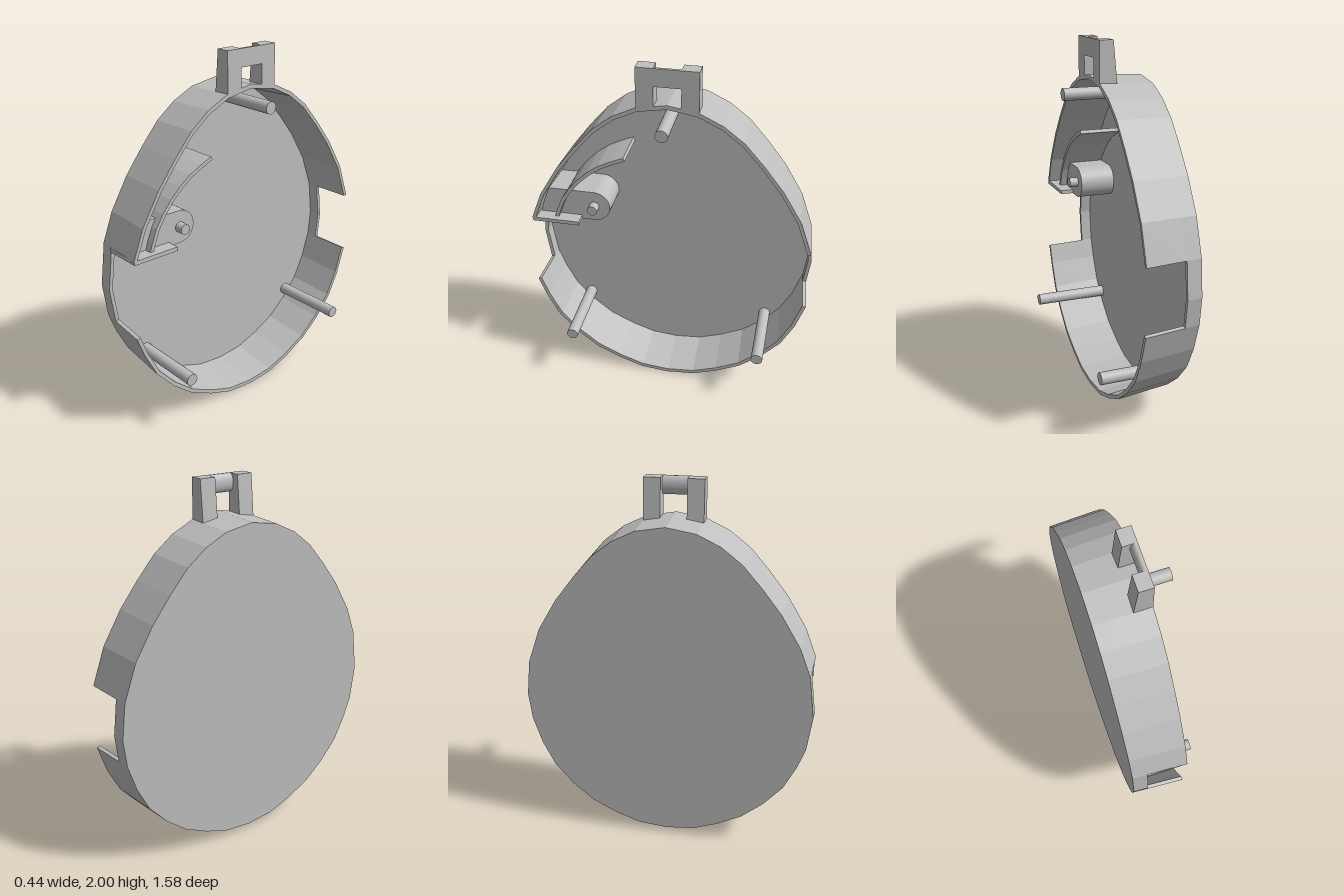
import * as THREE from 'three';

const FLOOR = -0.22, LEDGE = -0.14, RIM = 0.075;

export function createModel() {
  const model = new THREE.Group();
  model.name = 'eggCaseHalf';
  const grey = new THREE.MeshStandardMaterial({ color: 0xbfbfbf });
  grey.name = 'grey plastic';

  const add = (name, geometry) => {
    const mesh = new THREE.Mesh(geometry, grey);
    mesh.name = name;
    model.add(mesh);
    return mesh;
  };

  // Outline points are [u, y], with u = -z, counterclockwise seen from +x
  const lower = [[0.16, 0.02], [0.30, 0.07], [0.44, 0.14], [0.56, 0.24], [0.665, 0.36], [0.735, 0.5]];
  const upper = [[0.71, 1.21], [0.605, 1.385], [0.5, 1.52], [0.395, 1.64], [0.285, 1.725], [0.16, 1.785]];
  const mirror = (pts) => pts.map(([u, y]) => [-u, y]).reverse();
  const topArc = [[0.781, 1.01], ...upper, [0, 1.812], ...mirror(upper), [-0.772, 1.05]];
  const bottomArc = [[-0.777, 0.615], ...mirror(lower), [0, 0.005], ...lower, [0.785, 0.655]];
  const outline = [...bottomArc, [0.803, 0.81], ...topArc, [-0.803, 0.81]];

  // The wall flares slightly towards the open rim
  const flare = ([u, y], x) => {
    const k = 1 - 0.023 * (RIM - x) / (RIM - FLOOR);
    return [u * k, 1.3 + (y - 1.3) * k];
  };
  const inset = ([u, y]) => [u * 0.975, 0.9 + (y - 0.9) * 0.975];

  function wall(pts, x0, x1, closed) {
    const pos = [];
    const at = (p, x, inner) => {
      const q = flare(p, x);
      const [u, y] = inner ? inset(q) : q;
      return [x, y, -u];
    };
    const quad = (a, b, c, d) => pos.push(...a, ...b, ...c, ...a, ...c, ...d);
    const corners = pts.map((p) => ({
      o0: at(p, x0, false), o1: at(p, x1, false), i0: at(p, x0, true), i1: at(p, x1, true),
    }));
    const n = corners.length;
    for (let i = 0; i < (closed ? n : n - 1); i++) {
      const a = corners[i], b = corners[(i + 1) % n];
      quad(a.o0, b.o0, b.o1, a.o1);
      quad(b.i0, a.i0, a.i1, b.i1);
      quad(a.o1, b.o1, b.i1, a.i1);
    }
    if (!closed) {
      const a = corners[0], b = corners[n - 1];
      quad(a.i0, a.o0, a.o1, a.i1);
      quad(b.o0, b.i0, b.i1, b.o1);
    }
    const g = new THREE.BufferGeometry();
    g.setAttribute('position', new THREE.Float32BufferAttribute(pos, 3));
    g.computeVertexNormals();
    return g;
  }

  // Extrudes a [u, y] shape along x
  const alongX = (shape, x0, x1) =>
    new THREE.ExtrudeGeometry(shape, { depth: x1 - x0, bevelEnabled: false, curveSegments: 16 })
      .rotateY(Math.PI / 2).translate(x0, 0, 0);
  const polygon = (pts) => new THREE.Shape(pts.map(([a, b]) => new THREE.Vector2(a, b)));

  // Shell: floor plate, low full wall, and two tall walls between side notches
  add('floorPlate', alongX(polygon(outline.map((p) => flare(p, FLOOR))), FLOOR, FLOOR + 0.018));
  add('lowWall', wall(outline, FLOOR, LEDGE, true));
  add('upperWall', wall(topArc, LEDGE, RIM, false));
  add('bottomWall', wall(bottomArc, LEDGE, RIM, false));

  // Locating pegs
  const peg = (name, r, x0, x1, y, z) =>
    add(name, new THREE.CylinderGeometry(r, r, x1 - x0, 24).rotateZ(-Math.PI / 2)).position.set((x0 + x1) / 2, y, z);
  peg('topPeg', 0.033, FLOOR + 0.01, 0.22, 1.715, 0);
  for (const s of [1, -1]) peg(s > 0 ? 'leftPeg' : 'rightPeg', 0.033, FLOOR + 0.01, 0.22, 0.345, 0.545 * s);

  // Hanging loop: two tapered legs joined by a rounded bar
  const leg = polygon([[-0.021, 1.78], [RIM, 1.78], [RIM, 2], [0, 2]]);
  for (const z of [-0.16, 0.07]) {
    add('loopLeg', new THREE.ExtrudeGeometry(leg, { depth: 0.09, bevelEnabled: false }).translate(0, 0, z));
  }
  const bar = new THREE.Shape();
  bar.moveTo(RIM, 1.905);
  bar.lineTo(RIM, 2);
  bar.lineTo(0.06, 2);
  bar.bezierCurveTo(0.03, 1.99, 0.03, 1.915, 0.06, 1.905);
  add('loopBar', new THREE.ExtrudeGeometry(bar, { depth: 0.14, bevelEnabled: false }).translate(0, 0, -0.07));

  // Round-ended pivot boss reaching from the wall, with its pin
  const boss = new THREE.Shape();
  boss.moveTo(-0.75, 1.03);
  boss.lineTo(-0.43, 1.03);
  boss.absarc(-0.43, 1.12, 0.09, -Math.PI / 2, Math.PI / 2, false);
  boss.lineTo(-0.69, 1.21);
  add('pivotBoss', alongX(boss, FLOOR + 0.001, 0));
  peg('pivotPin', 0.028, -0.01, 0.05, 1.12, 0.43);

  // Ledge under the boss at the notch
  add('notchLedge', new THREE.BoxGeometry(RIM - LEDGE, 0.022, 0.265)).position.set((RIM + LEDGE) / 2, 1.043, 0.635);

  // Thin curved guide fin
  const path = new THREE.CatmullRomCurve3(
    [[-0.645, 1.03], [-0.595, 1.165], [-0.5, 1.295], [-0.38, 1.395], [-0.24, 1.46]]
      .map(([u, y]) => new THREE.Vector3(u, y, 0)));
  const side = (d) => Array.from({ length: 9 }, (_, i) => {
    const p = path.getPoint(i / 8), t = path.getTangent(i / 8);
    return [p.x - t.y * d, p.y + t.x * d];
  });
  add('guideFin', alongX(polygon([...side(-0.01), ...side(0.01).reverse()]), FLOOR + 0.002, 0.04));

  return model;
}
